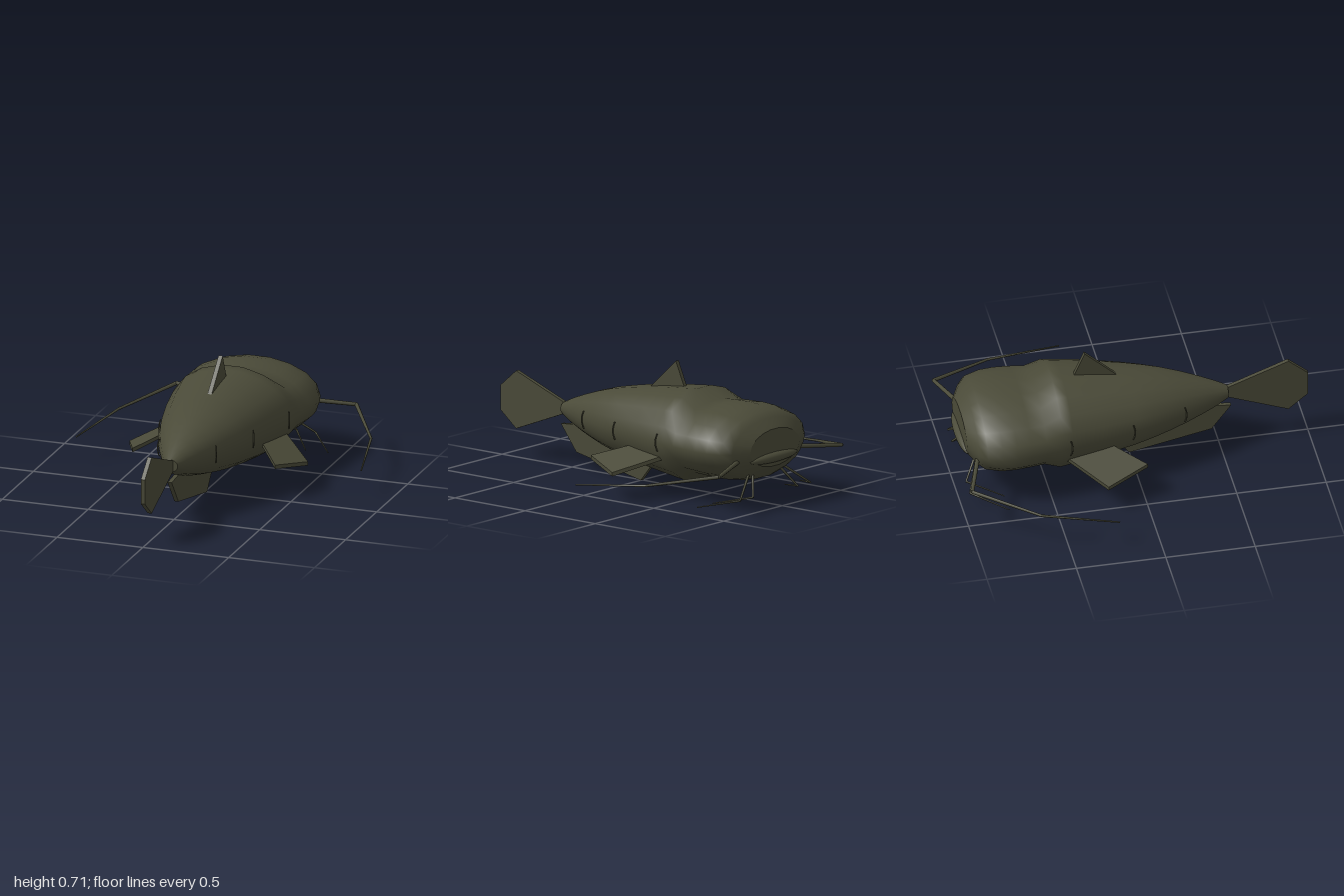
import * as THREE from 'three';

const skin = new THREE.MeshStandardMaterial({ color: 0x4a4a38 });
skin.name = 'olive skin';

function add(group, name, geometry) {
  const mesh = new THREE.Mesh(geometry, skin);
  mesh.name = name;
  group.add(mesh);
  return mesh;
}

// Closed loft through elliptical rings [z, halfWidth, bottom, top], from tail to head
function loft(rings, sides) {
  const pos = [], index = [];
  rings.forEach(([z, w, lo, hi]) => {
    for (let i = 0; i < sides; i++) {
      const a = (i / sides) * Math.PI * 2;
      pos.push(w * Math.cos(a), (lo + hi) / 2 + ((hi - lo) / 2) * Math.sin(a), z);
    }
  });
  for (let r = 0; r < rings.length - 1; r++) {
    for (let i = 0; i < sides; i++) {
      const j = (i + 1) % sides, a = r * sides + i, b = r * sides + j;
      index.push(a, a + sides, b, b, a + sides, b + sides);
    }
  }
  // End caps use their own vertices so their rims stay sharp
  [[0, 1], [rings.length - 1, -1]].forEach(([r, dir]) => {
    const start = pos.length / 3;
    for (let i = 0; i < sides; i++) {
      const k = (r * sides + i) * 3;
      pos.push(pos[k], pos[k + 1], pos[k + 2]);
    }
    for (let i = 1; i < sides - 1; i++) {
      if (dir > 0) index.push(start, start + i, start + i + 1);
      else index.push(start, start + i + 1, start + i);
    }
  });
  const g = new THREE.BufferGeometry();
  g.setAttribute('position', new THREE.Float32BufferAttribute(pos, 3));
  g.setIndex(index);
  g.computeVertexNormals();
  return g;
}

// Flat plate from an outline, centred on its own thickness
function plate(points, depth) {
  const shape = new THREE.Shape(points.map(([x, y]) => new THREE.Vector2(x, y)));
  return new THREE.ExtrudeGeometry(shape, { depth, bevelEnabled: false }).translate(0, 0, -depth / 2);
}

// Upright fin on the centre line, outline given as [z, y]
const uprightFin = (points) => plate(points, 0.024).rotateY(-Math.PI / 2);

// Tapered whisker made of straight segments
function whisker(name, points, r0, r1) {
  const group = new THREE.Group();
  group.name = name;
  const n = points.length - 1;
  for (let i = 0; i < n; i++) {
    const a = new THREE.Vector3(...points[i]), b = new THREE.Vector3(...points[i + 1]);
    const dir = b.clone().sub(a);
    const radius = (k) => r0 + ((r1 - r0) * k) / n;
    const mesh = add(group, name + 'Segment', new THREE.CylinderGeometry(radius(i + 1), radius(i), dir.length(), 8));
    mesh.position.copy(a).add(b).multiplyScalar(0.5);
    mesh.quaternion.setFromUnitVectors(new THREE.Vector3(0, 1, 0), dir.normalize());
  }
  return group;
}

export function createModel() {
  const fish = new THREE.Group();
  fish.name = 'whiskeredFish';

  // Body and head, with a shallow groove between them
  add(fish, 'body', loft([
    [0.55, 0.04, 0.30, 0.37],
    [0.48, 0.075, 0.262, 0.403],
    [0.40, 0.113, 0.232, 0.435],
    [0.30, 0.16, 0.20, 0.47],
    [0.20, 0.20, 0.172, 0.50],
    [0.10, 0.237, 0.15, 0.522],
    [0.00, 0.267, 0.13, 0.541],
    [-0.20, 0.315, 0.10, 0.572],
    [-0.38, 0.348, 0.077, 0.592],
    [-0.44, 0.357, 0.07, 0.598],
    [-0.53, 0.372, 0.132, 0.537],
    [-0.62, 0.386, 0.13, 0.54],
    [-0.70, 0.392, 0.126, 0.542],
    [-0.78, 0.388, 0.13, 0.537],
    [-0.86, 0.36, 0.146, 0.52],
    [-0.90, 0.31, 0.175, 0.487],
    [-0.948, 0.21, 0.225, 0.435],
  ], 18));

  // Wide flat lip
  add(fish, 'lip', new THREE.SphereGeometry(1, 24, 12).scale(0.2, 0.03, 0.04)).position.set(0, 0.275, -0.937);

  // Fins on the centre line
  add(fish, 'tailFin', uprightFin([
    [0.53, 0.36], [0.89, 0.495], [1.0, 0.40], [1.0, 0.26], [0.89, 0.17], [0.53, 0.31],
  ]));
  add(fish, 'dorsalFin', uprightFin([[-0.03, 0.51], [-0.25, 0.715], [-0.33, 0.53]]));
  add(fish, 'analFin', uprightFin([
    [0.57, 0.245], [0.46, 0.10], [0, 0.008], [-0.13, 0.17], [0.3, 0.27],
  ]));

  for (const side of [1, -1]) {
    const label = side > 0 ? 'left' : 'right';
    const mirror = (points) => points.map(([x, ...rest]) => [x * side, ...rest]);

    // Side fin, sloping down away from the body
    const fin = plate(mirror([[0.25, -0.48], [0.52, -0.22], [0.415, 0.02], [0.2, -0.25]]), 0.022).rotateX(Math.PI / 2);
    const p = fin.attributes.position;
    for (let i = 0; i < p.count; i++) p.setY(i, p.getY(i) + 0.255 - 0.43 * (Math.abs(p.getX(i)) - 0.3));
    fin.computeVertexNormals();
    add(fish, label + 'SideFin', fin);

    // Long whisker beside the mouth and two short ones under the chin
    fish.add(whisker(label + 'LongWhisker',
      mirror([[0.2, 0.29, -0.88], [0.525, 0.257, -0.985], [0.735, 0.195, -0.64], [0.83, 0.157, -0.22]]), 0.014, 0.004));
    fish.add(whisker(label + 'OuterChinWhisker',
      mirror([[0.14, 0.2, -0.88], [0.30, 0.08, -0.95], [0.44, 0.04, -0.76]]), 0.008, 0.003));
    fish.add(whisker(label + 'InnerChinWhisker',
      mirror([[0.11, 0.2, -0.88], [0.19, 0.08, -0.95], [0.31, 0.04, -0.76]]), 0.008, 0.003));

    // Thin curved ridges along the flank
    for (const [x, z] of [[0.352, -0.39], [0.277, -0.025], [0.172, 0.285]]) {
      const arc = new THREE.QuadraticBezierCurve3(
        new THREE.Vector3((x - 0.007) * side, 0.285, z - 0.006),
        new THREE.Vector3((x + 0.006) * side, 0.335, z + 0.014),
        new THREE.Vector3((x - 0.007) * side, 0.385, z - 0.006));
      add(fish, label + 'FlankRidge', new THREE.TubeGeometry(arc, 8, 0.004, 6));
    }
  }
  return fish;
}
